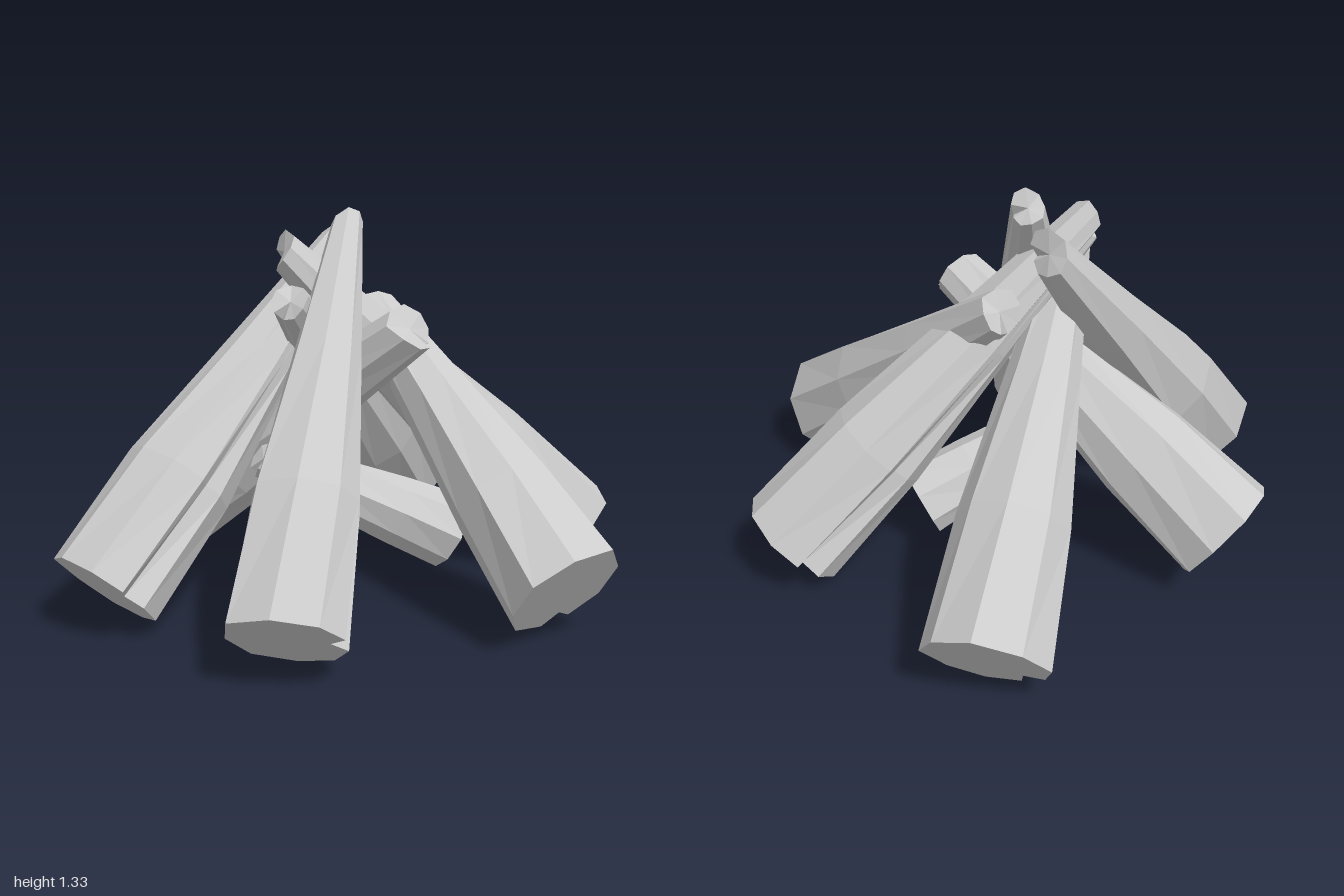
import * as THREE from 'three';

// Cross-section as [angle in degrees, radius factor]; the first three points form the split in the bark.
const SECTION = [
  [-13, 1.0], [0, 0.7], [18, 0.98], [54, 1.03], [92, 0.98],
  [135, 1.04], [178, 0.98], [222, 1.04], [268, 0.97], [312, 1.02],
];
// Rings along the log: position from foot to tip, and how deep the split runs there.
const RINGS = [
  { t: 0, split: 1 },
  { t: 0.3, split: 0.6 },
  { t: 0.65, split: 0.15 },
  { t: 1, split: 0.4 },
];
const TIP_CUT = [0.02, -0.02, 0, 0.01, 0.02, 0.01, -0.01, -0.02, 0.01, 0.02];

// A tapered, faceted log from foot to tip; radii are listed per ring, roll turns the split (degrees),
// slant makes the upper side of the tip longer than the lower one.
function logGeometry({ foot, tip, radii, roll, slant }) {
  const a = new THREE.Vector3(...foot);
  const b = new THREE.Vector3(...tip);
  const axis = b.clone().sub(a).normalize();
  const side = new THREE.Vector3(0, 1, 0).cross(axis).normalize();
  const up = axis.clone().cross(side);
  const n = SECTION.length;
  const positions = [];
  const index = [];

  RINGS.forEach(({ t, split }, i) => {
    SECTION.forEach(([deg, factor], j) => {
      const angle = THREE.MathUtils.degToRad(deg + roll + i * 5);
      const f = j === 1 ? THREE.MathUtils.lerp(1, factor, split) : factor;
      const r = radii[i] * f;
      const p = a.clone().lerp(b, t)
        .addScaledVector(side, Math.cos(angle) * r)
        .addScaledVector(up, Math.sin(angle) * r);
      if (i === RINGS.length - 1) p.addScaledVector(axis, TIP_CUT[j] + slant * Math.sin(angle) * r);
      positions.push(p.x, p.y, p.z);
    });
  });

  // Bark
  for (let i = 0; i < RINGS.length - 1; i++) {
    for (let j = 0; j < n; j++) {
      const k = (j + 1) % n;
      const p = i * n;
      index.push(p + j, p + k, p + n + k, p + j, p + n + k, p + n + j);
    }
  }
  // Sawn foot and rough tip
  const footCentre = RINGS.length * n;
  const last = (RINGS.length - 1) * n;
  positions.push(...a.toArray(), ...b.toArray());
  for (let j = 0; j < n; j++) {
    const k = (j + 1) % n;
    index.push(footCentre, k, j, footCentre + 1, last + j, last + k);
  }

  const geometry = new THREE.BufferGeometry();
  geometry.setAttribute('position', new THREE.Float32BufferAttribute(positions, 3));
  geometry.setIndex(index);
  const flat = geometry.toNonIndexed();
  flat.computeVertexNormals();
  return flat;
}

export function createModel() {
  const group = new THREE.Group();
  group.name = 'stackedLogs';
  const material = new THREE.MeshStandardMaterial({ color: 0xcccccc, flatShading: true });

  const logs = [
    { name: 'frontLeftLog', foot: [0.285, 0.165, 0.85], tip: [-0.14, 1.29, -0.05], radii: [0.192, 0.175, 0.115, 0.055], roll: 178, slant: 0.6 },
    { name: 'frontRightLog', foot: [-0.455, 0.17, 0.865], tip: [-0.28, 1.2, -0.17], radii: [0.192, 0.187, 0.125, 0.065], roll: 172, slant: 0.8 },
    { name: 'leftLog', foot: [0.845, 0.22, 0.155], tip: [-0.12, 0.98, -0.2], radii: [0.2, 0.172, 0.122, 0.075], roll: 250, slant: 0.4 },
    { name: 'rightLog', foot: [-0.85, 0.22, 0.07], tip: [0.19, 0.97, 0.05], radii: [0.2, 0.182, 0.122, 0.09], roll: 280, slant: 0 },
    { name: 'backLeftLog', foot: [0.46, 0.16, -0.63], tip: [-0.26, 1.21, 0.15], radii: [0.19, 0.175, 0.12, 0.065], roll: 188, slant: 0.6 },
    { name: 'backRightLog', foot: [-0.455, 0.185, -0.88], tip: [-0.14, 1.06, 0.27], radii: [0.2, 0.178, 0.12, 0.065], roll: 225, slant: 0.2 },
    { name: 'innerLog', foot: [0.18, 0.185, -0.235], tip: [-0.27, 0.5, 0.27], radii: [0.135, 0.12, 0.095, 0.07], roll: 230, slant: 0 },
  ];

  for (const log of logs) {
    const mesh = new THREE.Mesh(logGeometry(log), material);
    mesh.name = log.name;
    group.add(mesh);
  }

  // Rest the pile on the ground
  const box = new THREE.Box3().setFromObject(group);
  group.children.forEach((mesh) => mesh.geometry.translate(0, -box.min.y, 0));
  return group;
}
